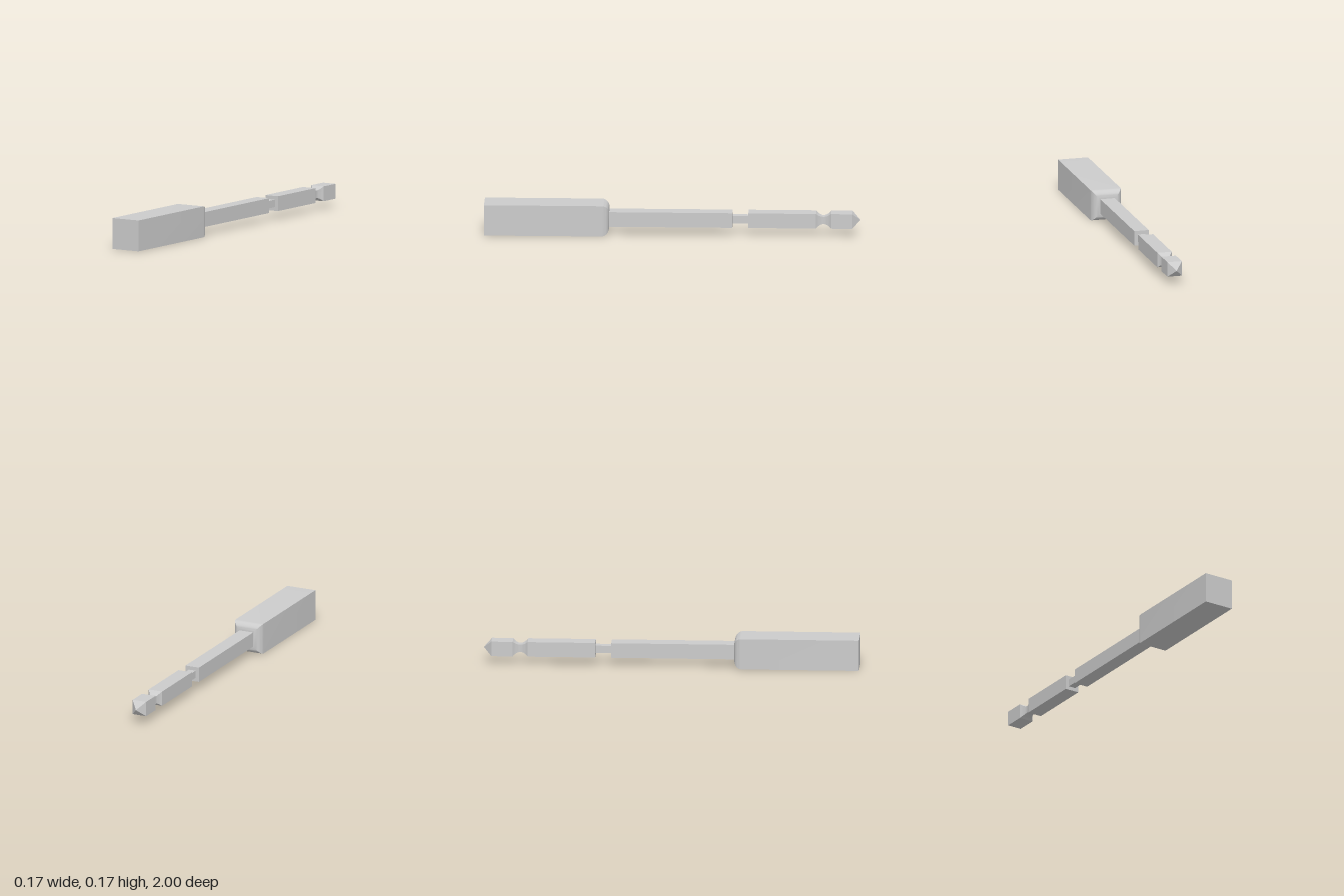
import * as THREE from 'three';
import { toCreasedNormals } from 'three/addons/utils/BufferGeometryUtils.js';

const material = new THREE.MeshStandardMaterial({ color: 0xcccccc });
const HANDLE = 0.083, SHAFT = 0.04, GROOVE = 0.02;

// Square bar along z from [halfWidth, z] points, z ascending
function squareBar(name, profile) {
  const points = profile.map(([half, z]) => new THREE.Vector2(half * Math.SQRT2, z));
  const geometry = new THREE.LatheGeometry(points, 4, Math.PI / 4);
  geometry.rotateX(Math.PI / 2);
  const mesh = new THREE.Mesh(toCreasedNormals(geometry, Math.PI / 6), material);
  mesh.name = name;
  mesh.position.y = HANDLE;
  return mesh;
}

export function createModel() {
  const group = new THREE.Group();
  group.name = 'driverTool';

  // Handle: flat front, rounded rear shoulder
  const radius = 0.04, rear = 0.335, steps = 8;
  const handle = [[0, rear]];
  for (let i = 0; i <= steps; i++) {
    const a = (i / steps) * Math.PI / 2;
    handle.push([HANDLE - radius + radius * Math.sin(a), rear + radius - radius * Math.cos(a)]);
  }
  handle.push([HANDLE, 1], [0, 1]);
  group.add(squareBar('handle', handle));

  // Long shaft, narrow groove and rear shaft
  group.add(squareBar('frontShaft', [[0, -0.32], [SHAFT, -0.32], [SHAFT, rear]]));
  group.add(squareBar('groove', [[GROOVE, -0.405], [GROOVE, -0.32]]));
  group.add(squareBar('rearShaft', [[0, -0.765], [SHAFT, -0.765], [SHAFT, -0.405], [0, -0.405]]));

  // Concave neck
  const neck = [];
  for (let i = 0; i <= 10; i++) {
    const t = i / 5 - 1;
    neck.push([GROOVE + (SHAFT - GROOVE) * t * t, -0.805 + 0.04 * t]);
  }
  group.add(squareBar('neck', neck));

  // Head with pyramid tip
  group.add(squareBar('head', [[0, -1], [SHAFT, -0.958], [SHAFT, -0.845], [0, -0.845]]));
  return group;
}
